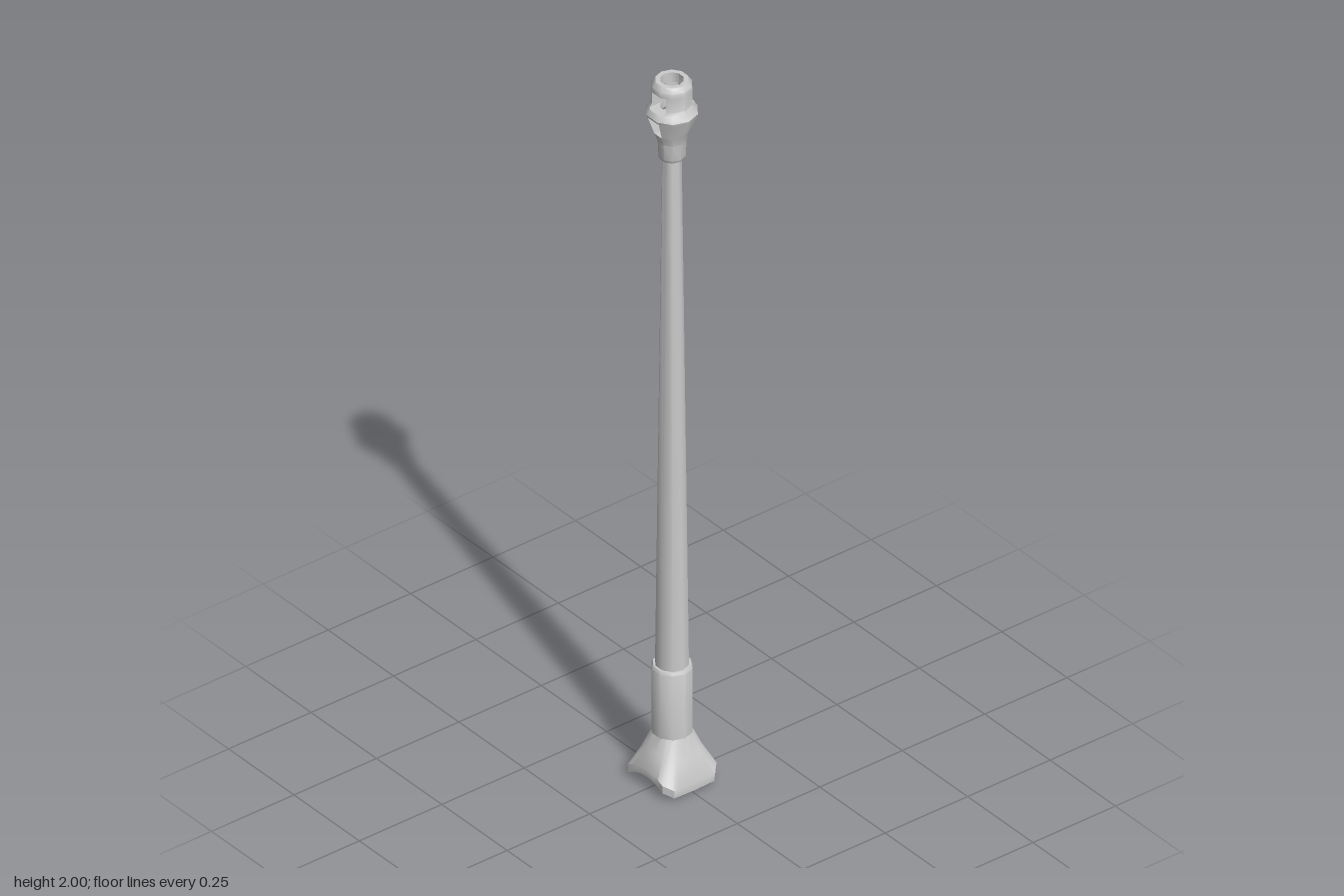
import * as THREE from 'three';
import { toCreasedNormals } from 'three/addons/utils/BufferGeometryUtils.js';

const SIDES = 10;
const material = new THREE.MeshStandardMaterial({ color: 0xcccccc });

function part(name, geometry) {
  const mesh = new THREE.Mesh(toCreasedNormals(geometry, 0.66), material);
  mesh.name = name;
  return mesh;
}

// ten-sided turned part from [radius, y] pairs, outside listed bottom to top
function turned(name, profile) {
  return part(name, new THREE.LatheGeometry(profile.map(([r, y]) => new THREE.Vector2(r, y)), SIDES));
}

// skin over closed rings of [x, y, z], listed bottom to top
function loft(name, rings) {
  const n = rings[0].length;
  const index = [];
  for (let i = 0; i < rings.length - 1; i++) {
    for (let j = 0; j < n; j++) {
      const a = i * n + j, b = i * n + (j + 1) % n;
      index.push(a, b, b + n, a, b + n, a + n);
    }
  }
  const geometry = new THREE.BufferGeometry();
  geometry.setAttribute('position', new THREE.Float32BufferAttribute(rings.flat(2), 3));
  geometry.setIndex(index);
  geometry.computeVertexNormals();
  return part(name, geometry);
}

// slice of the ten-sided brake wall lying beyond z = w
function cheekRing(y, r, w) {
  const s = Math.PI / 5;
  const corner = (k) => [r * Math.sin(k * s), y, r * Math.cos(k * s)];
  const [x1, , z1] = corner(1), [x2, , z2] = corner(2);
  const x = x1 + (x2 - x1) * (z1 - w) / (z1 - z2);
  return [corner(-1), corner(0), corner(1), [x, y, w], [-x, y, w]];
}

// pair of walls, front and back, that leave windows open on both sides
function cheeks(name, rows) {
  const group = new THREE.Group();
  group.name = name;
  for (const turn of [0, Math.PI]) {
    const wall = loft(name + 'Wall', rows.map((row) => cheekRing(...row)));
    wall.rotation.y = turn;
    group.add(wall);
  }
  return group;
}

// rectangular foot with cut corners and an arched underside
function createFoot() {
  const hx = 0.082, hz = 0.087, cut = 0.02, steps = 8;
  const corners = [[-hx + cut, hz], [hx - cut, hz], [hx, hz - cut], [hx, -hz + cut],
    [hx - cut, -hz], [-hx + cut, -hz], [-hx, -hz + cut], [-hx, hz - cut]];
  const outline = [];
  corners.forEach(([x, z], i) => {
    const [nx, nz] = corners[(i + 1) % 8];
    const count = i % 2 ? 2 : steps;
    for (let k = 0; k < count; k++) {
      outline.push([x + (nx - x) * k / count, z + (nz - z) * k / count]);
    }
  });
  const arch = (z) => 0.038 - 0.033 * (z / hz) ** 2 + 0.005 * z / hz;
  const round = ([x, z], y, r) => {
    const l = Math.hypot(x, z);
    return [x / l * r, y, z / l * r];
  };
  const lip = outline.map(([x, z]) => [x, arch(z) + 0.022, z]);
  const neck = outline.map((p) => round(p, 0.14, 0.049));
  const middle = lip.map((p, i) => p.map((v, k) => v + (neck[i][k] - v) * (k === 1 ? 0.5 : 0.56)));
  return loft('foot', [
    outline.map(([, z]) => [0, arch(z), z]),
    outline.map(([x, z]) => [x * 0.98, arch(z), z * 0.98]),
    lip, middle, neck,
  ]);
}

export function createModel() {
  const model = new THREE.Group();
  model.name = 'barrel';

  // mount and tapering tube
  model.add(createFoot());
  model.add(turned('collar', [[0.05, 0.135], [0.051, 0.322], [0.047, 0.33], [0.04, 0.33]]));
  model.add(turned('tube', [[0.042, 0.32], [0.024, 1.79]]));

  // muzzle brake with two open chambers
  const brake = new THREE.Group();
  brake.name = 'muzzleBrake';
  brake.add(turned('brakeSocket',
    [[0, 1.778], [0.03, 1.778], [0.034, 1.786], [0.036, 1.83], [0.0448, 1.855], [0, 1.855]]));
  brake.add(cheeks('lowerChamber', [[1.855, 0.0448, 0.0142], [1.905, 0.0623, 0.0215]]));
  brake.add(turned('baffle', [[0.029, 1.905], [0.0623, 1.905], [0.064, 1.911], [0.056, 1.925],
    [0.029, 1.925], [0.029, 1.905]]));
  brake.add(cheeks('upperChamber',
    [[1.925, 0.056, 0.027], [1.935, 0.05, 0.027], [1.973, 0.05, 0.027]]));
  brake.add(turned('muzzleRing', [[0.029, 1.973], [0.05, 1.973], [0.05, 1.987], [0.041, 2],
    [0.029, 2], [0.029, 1.973]]));
  model.add(brake);

  return model;
}
